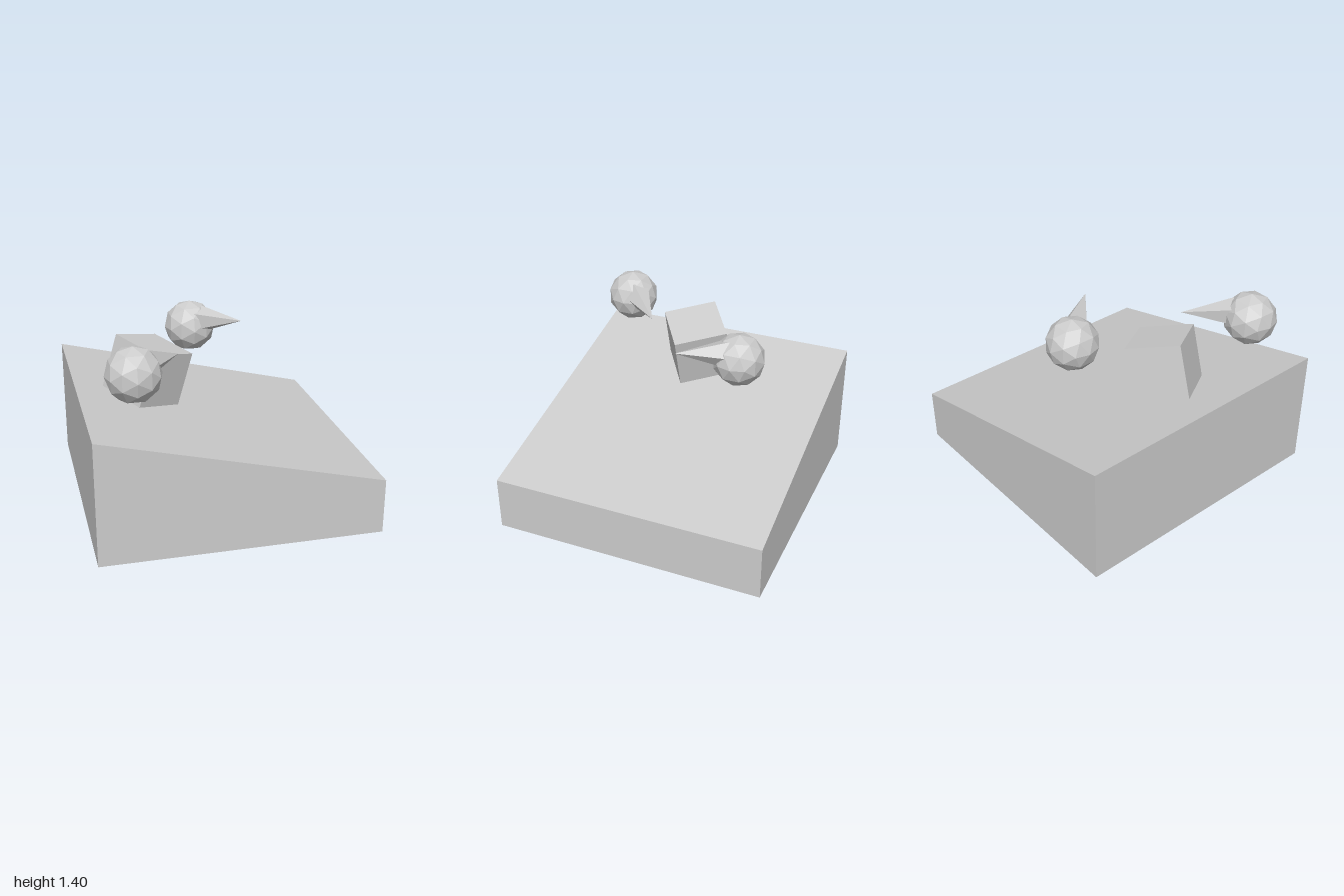
import * as THREE from 'three';

export function createModel() {
  const group = new THREE.Group();
  const grey = new THREE.MeshStandardMaterial({ color: 0xcccccc, flatShading: true });
  grey.name = 'light grey';

  const add = (parent, name, geometry) => {
    const mesh = new THREE.Mesh(geometry, grey);
    mesh.name = name;
    parent.add(mesh);
    return mesh;
  };

  // Sloping block, high on -x
  const side = new THREE.Shape();
  side.moveTo(-1, 0).lineTo(1, 0).lineTo(1, 0.4).lineTo(-1, 0.89).closePath();
  const ramp = new THREE.ExtrudeGeometry(side, { depth: 2, bevelEnabled: false });
  add(group, 'ramp', ramp.translate(0, 0, -1));

  // Cube tilted along the slope
  const cube = add(group, 'cube', new THREE.BoxGeometry(0.397, 0.397, 0.397));
  cube.position.set(-0.48, 1.0, 0.055);
  cube.rotation.set(0, 0.585, -0.28, 'ZYX');

  // Faceted ball with a five-sided spike; the spike's axis runs just above the ball's centre
  function spikedBall(name, center, tip) {
    const part = new THREE.Group();
    part.name = name;
    group.add(part);
    const ball = add(part, 'ball', new THREE.IcosahedronGeometry(0.193, 1));
    ball.position.copy(center);

    const length = 0.38;
    const dir = tip.clone().sub(center).sub(new THREE.Vector3(0, 0.05, 0)).normalize();
    const across = new THREE.Vector3(dir.z, 0, -dir.x).normalize().multiplyScalar(Math.sign(dir.z));
    const third = dir.clone().cross(across);
    const spike = add(part, 'spike', new THREE.ConeGeometry(0.105, length, 5));
    spike.quaternion.setFromRotationMatrix(new THREE.Matrix4().makeBasis(third, dir, across));
    spike.position.copy(tip).addScaledVector(dir, -length / 2);
  }
  spikedBall('frontSpikedBall', new THREE.Vector3(-0.68, 1.21, 0.69), new THREE.Vector3(-0.315, 1.213, 0.362));
  spikedBall('backSpikedBall', new THREE.Vector3(-0.063, 1.157, -0.428), new THREE.Vector3(0.245, 1.277, -0.063));

  return group;
}
